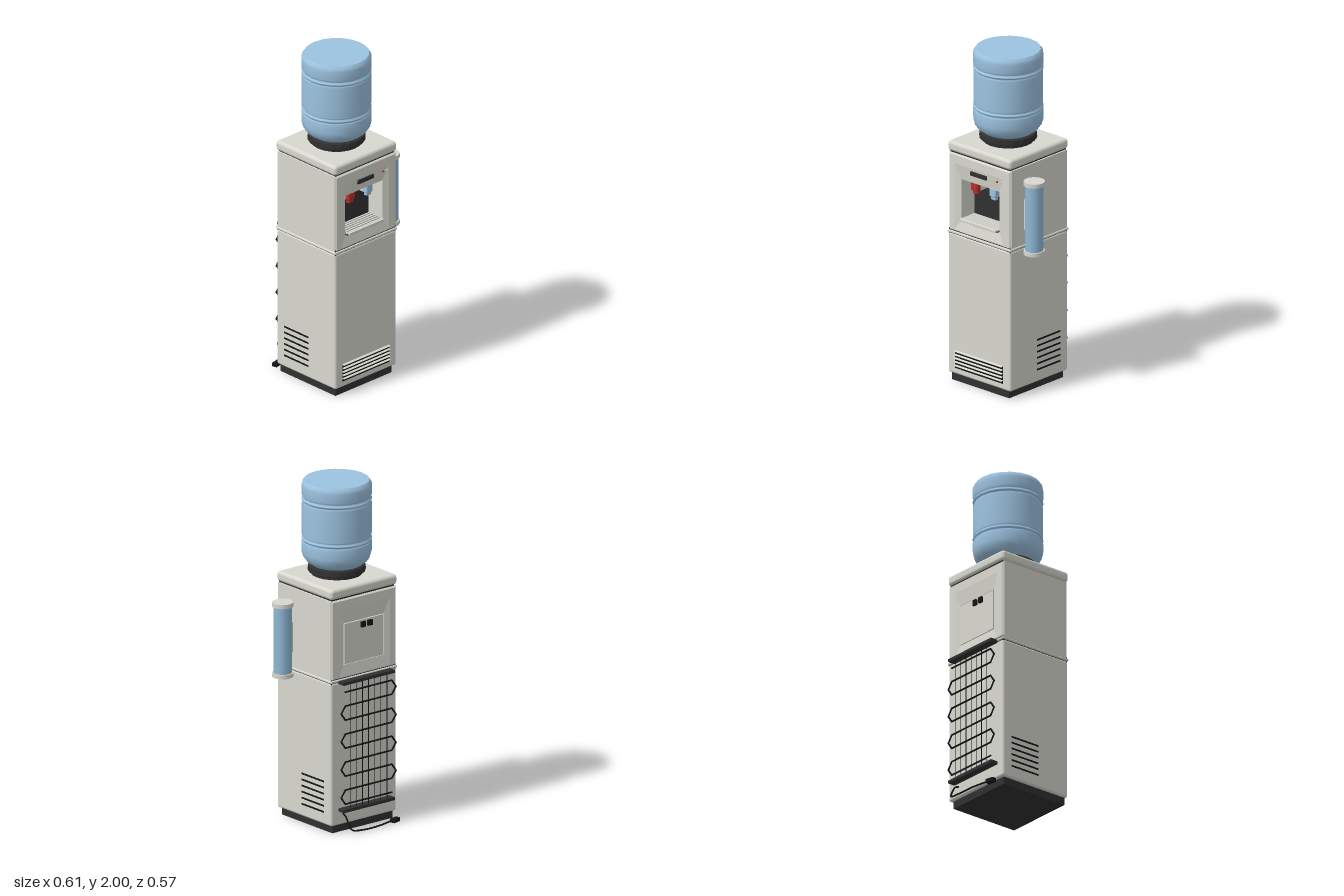
import * as THREE from 'three';
import { RoundedBoxGeometry } from 'three/addons/geometries/RoundedBoxGeometry.js';

const material = (color, extra = {}) => new THREE.MeshStandardMaterial({ color, ...extra });
const SHELL = material(0xd8d8d0);
const SHELL_FLAT = material(0xd8d8d0, { flatShading: true });
const DARK = material(0x303030);
const BLACK = material(0x151515);
const BLUE = material(0x9cc3e0);
const CUP_BLUE = material(0x8fb8d6);
const RED = material(0xb8302a);
const CX = -0.06, CZ = 0.03; // cabinet axis

export function createModel() {
  const model = new THREE.Group();
  model.name = 'waterCooler';

  const add = (name, geometry, mat, x = 0, y = 0, z = 0, parent = model) => {
    const mesh = new THREE.Mesh(geometry, mat);
    mesh.name = name;
    mesh.position.set(x, y, z);
    parent.add(mesh);
    return mesh;
  };
  const group = (name) => {
    const g = new THREE.Group();
    g.name = name;
    model.add(g);
    return g;
  };
  // box given by its limits, optionally rounded
  const span = (name, mat, [x0, x1], [y0, y1], [z0, z1], radius = 0, parent = model) => {
    const s = [x1 - x0, y1 - y0, z1 - z0];
    const g = radius ? new RoundedBoxGeometry(...s, 3, radius) : new THREE.BoxGeometry(...s);
    return add(name, g, mat, (x0 + x1) / 2, (y0 + y1) / 2, (z0 + z1) / 2, parent);
  };
  // straight round bar between two points
  const rod = (name, a, b, r, parent) => {
    const p = new THREE.Vector3(...a), q = new THREE.Vector3(...b);
    const d = q.clone().sub(p);
    const mesh = add(name, new THREE.CylinderGeometry(r, r, d.length() + r, 6), BLACK, 0, 0, 0, parent);
    mesh.position.copy(p).add(q).multiplyScalar(0.5);
    mesh.quaternion.setFromUnitVectors(new THREE.Vector3(0, 1, 0), d.normalize());
  };
  // skin through rectangular sections [x0, x1, y0, y1, z]
  const loftRects = (sections) => {
    const pos = [];
    const loops = sections.map(([x0, x1, y0, y1, z]) => [[x0, y0, z], [x1, y0, z], [x1, y1, z], [x0, y1, z]]);
    for (let i = 0; i < loops.length - 1; i++) {
      for (let j = 0; j < 4; j++) {
        const k = (j + 1) % 4;
        const a = loops[i][j], b = loops[i][k], c = loops[i + 1][k], d = loops[i + 1][j];
        pos.push(...a, ...d, ...b, ...b, ...d, ...c);
      }
    }
    const g = new THREE.BufferGeometry();
    g.setAttribute('position', new THREE.Float32BufferAttribute(pos, 3));
    g.computeVertexNormals();
    return g;
  };

  // cabinet
  span('plinth', DARK, [-0.285, 0.155], [0, 0.06], [-0.19, 0.255]);
  span('lowerCabinet', SHELL, [-0.3, 0.178], [0.045, 0.893], [-0.208, 0.27], 0.014);
  span('seamGap', DARK, [-0.296, 0.174], [0.88, 0.92], [-0.204, 0.266]);
  span('seamFlange', SHELL, [-0.304, 0.182], [0.893, 0.908], [-0.212, 0.274], 0.006);

  // upper cabinet: one skin from the front alcove, round the outside, to the back recess
  const hole = [-0.21, 0.08, 0.985, 1.23];
  const funnel = [-0.25, 0.12, 0.92, 1.32];
  const face = [-0.288, 0.168, 0.915, 1.37];
  const outer = [-0.3, 0.18, 0.91, 1.38];
  add('upperCabinet', loftRects([
    [...hole, 0.145], [...hole, 0.256], [...funnel, 0.27], [...face, 0.27], [...outer, 0.258],
    [...outer, -0.198], [...face, -0.21], [...funnel, -0.21], [...hole, -0.2], [...hole, -0.185],
  ]), SHELL_FLAT);
  span('alcoveBack', DARK, [-0.21, 0.08], [0.985, 1.23], [0.135, 0.146]);
  span('backPanel', SHELL, [-0.207, 0.077], [0.988, 1.227], [-0.203, -0.18]);
  for (const x of [-0.105, -0.055]) span('backSwitch', BLACK, [x - 0.015, x + 0.015], [1.185, 1.217], [-0.216, -0.2]);

  // lid
  span('lidGap', DARK, [-0.29, 0.17], [1.37, 1.395], [-0.2, 0.26]);
  span('lid', SHELL, [-0.305, 0.181], [1.385, 1.446], [-0.213, 0.274], 0.02);

  // dispenser
  span('display', DARK, [-0.125, -0.005], [1.28, 1.304], [0.255, 0.276]);
  [[0.075, RED], [0.102, SHELL]].forEach(([x, mat]) => {
    add('indicatorLight', new THREE.SphereGeometry(0.006, 10, 8), mat, x, 1.292, 0.268);
  });
  [[-0.135, RED], [0.005, BLUE]].forEach(([x, mat]) => {
    const tap = group('tap');
    span('tapBody', SHELL, [x - 0.018, x + 0.018], [1.165, 1.215], [0.145, 0.21], 0.006, tap);
    span('tapLever', mat, [x - 0.025, x + 0.025], [1.17, 1.222], [0.2, 0.235], 0.008, tap);
    span('tapPaddle', mat, [x - 0.018, x + 0.018], [1.15, 1.185], [0.2, 0.226], 0.005, tap);
  });

  // drip tray
  const tray = group('dripTray');
  span('trayFloor', DARK, [-0.208, 0.078], [0.985, 0.99], [0.147, 0.272], 0, tray);
  span('trayFront', SHELL, [-0.2, 0.072], [0.984, 1.0], [0.268, 0.282], 0.003, tray);
  for (let i = 0; i < 6; i++) {
    const z = 0.16 + i * 0.02;
    span('traySlat', SHELL, [-0.205, 0.075], [0.99, 0.998], [z - 0.005, z + 0.005], 0, tray);
  }

  // front louvres
  const louvres = group('frontLouvres');
  for (let i = 0; i < 5; i++) {
    const y = 0.092 + i * 0.0215;
    span('louvreSlot', BLACK, [-0.245, 0.12], [y - 0.009, y + 0.009], [0.262, 0.272], 0, louvres);
    const slat = span('louvreSlat', SHELL, [-0.245, 0.12], [y + 0.008, y + 0.011], [0.266, 0.283], 0, louvres);
    slat.rotation.x = 0.35;
  }

  // side vents
  for (const x of [-0.3, 0.178]) {
    for (let i = 0; i < 6; i++) {
      const y = 0.12 + i * 0.036;
      span('sideVent', BLACK, [x - 0.002, x + 0.002], [y - 0.005, y + 0.005], [-0.145, 0.05]);
    }
  }

  // bottle and collar
  const lathe = (points) => new THREE.LatheGeometry(points.map(([r, y]) => new THREE.Vector2(r, y)), 20);
  add('collar', lathe([
    [0, 1.44], [0.145, 1.44], [0.145, 1.46], [0.163, 1.464], [0.165, 1.47], [0.162, 1.498], [0.155, 1.503], [0, 1.503],
  ]), material(0x303030, { flatShading: true }), CX, 0, CZ);
  add('bottle', lathe([
    [0.13, 1.49], [0.145, 1.505], [0.172, 1.523], [0.19, 1.548], [0.199, 1.58], [0.2, 1.636],
    [0.193, 1.642], [0.193, 1.648], [0.2, 1.654], [0.2, 1.66], [0.193, 1.666], [0.193, 1.672], [0.198, 1.68],
    [0.198, 1.866], [0.192, 1.874], [0.192, 1.88], [0.2, 1.886], [0.2, 1.892], [0.192, 1.898], [0.192, 1.906],
    [0.2, 1.916], [0.2, 1.968], [0.196, 1.985], [0.186, 1.997], [0.184, 2],
  ]), BLUE, CX, 0, CZ);
  add('bottleTop', new THREE.CircleGeometry(0.185, 20).rotateX(-Math.PI / 2), BLUE, CX, 2, CZ);

  // cup holder
  const cups = group('cupHolder');
  const drum = (name, r, y0, y1, mat) =>
    add(name, new THREE.CylinderGeometry(r, r, y1 - y0, 12, 1, false, Math.PI / 12), mat, 0.243, (y0 + y1) / 2, 0.142, cups);
  drum('cupTube', 0.053, 0.88, 1.29, CUP_BLUE);
  drum('cupCapLower', 0.061, 0.866, 0.89, SHELL);
  drum('cupCapUpper', 0.061, 1.282, 1.306, SHELL);
  span('cupMount', SHELL, [0.175, 0.2], [1.0, 1.18], [0.125, 0.16], 0, cups);

  // rear condenser: two brackets, serpentine pipe, vertical wires
  const coil = group('condenser');
  for (const y of [0.892, 0.137]) span('condenserBracket', DARK, [-0.25, 0.125], [y - 0.009, y + 0.009], [-0.255, -0.2], 0, coil);
  const z = -0.245, step = 0.083, path = [];
  for (let i = 0; i < 9; i++) {
    const y = 0.84 - i * step;
    const ends = [[0.105, y, z], [-0.235, y, z]];
    if (i % 2) ends.reverse();
    path.push(...ends);
    if (i < 8) path.push([i % 2 ? 0.135 : -0.265, y - step / 2, z]);
  }
  for (let i = 0; i < path.length - 1; i++) rod('condenserPipe', path[i], path[i + 1], 0.005, coil);
  for (let i = 0; i < 7; i++) {
    const x = -0.2 + i * 0.045;
    rod('condenserWire', [x, 0.137, z], [x, 0.892, z], 0.002, coil);
  }

  // power cord and plug
  const cord = new THREE.CatmullRomCurve3([
    [0.09, 0.11, -0.2], [0.092, 0.1, -0.23], [0.09, 0.06, -0.255], [0.08, 0.025, -0.272], [0, 0.012, -0.281],
    [-0.12, 0.012, -0.279], [-0.21, 0.014, -0.263], [-0.235, 0.014, -0.257],
  ].map((p) => new THREE.Vector3(...p)));
  add('powerCord', new THREE.TubeGeometry(cord, 32, 0.005, 6), BLACK);
  const plug = add('plug', new THREE.BoxGeometry(0.054, 0.022, 0.03), BLACK, -0.25, 0.012, -0.256);
  plug.rotation.y = 0.22;
  return model;
}
